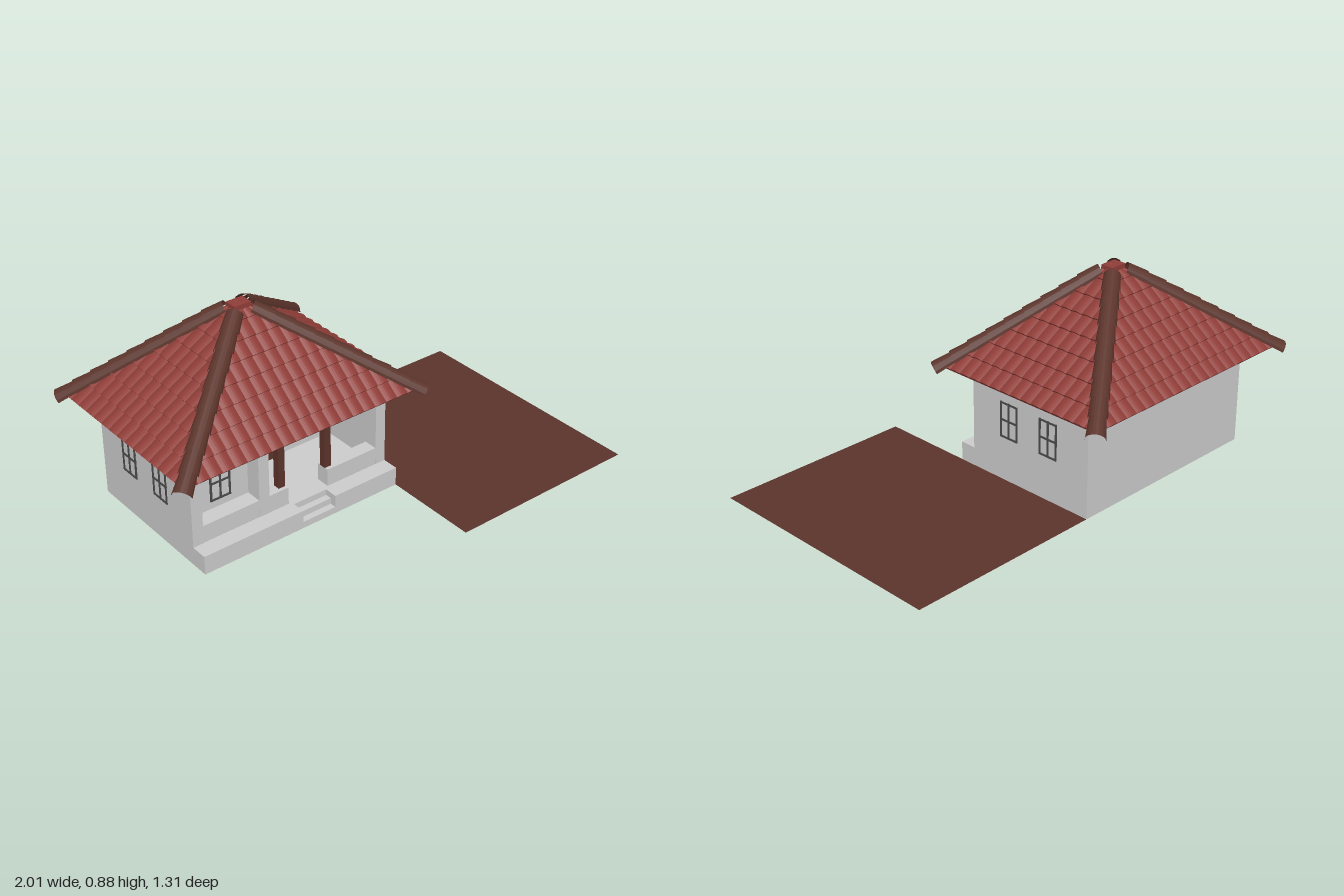
import * as THREE from 'three';

const mat = (color) => new THREE.MeshStandardMaterial({ color, side: THREE.DoubleSide, flatShading: true });
const wallMat = mat(0xcccccc), glassMat = mat(0xe2e2e2), frameMat = mat(0x4a4a4a);
const tileMat = mat(0x8f3d38), woodMat = mat(0x5b342b), brassMat = mat(0xb08d3c);

function add(parent, name, geometry, material) {
  const mesh = new THREE.Mesh(geometry, material);
  mesh.name = name;
  parent.add(mesh);
  return mesh;
}

// Box given by its two extreme corners
function box(parent, name, x0, x1, y0, y1, z0, z1, material) {
  const mesh = add(parent, name, new THREE.BoxGeometry(x1 - x0, y1 - y0, z1 - z0), material);
  mesh.position.set((x0 + x1) / 2, (y0 + y1) / 2, (z0 + z1) / 2);
  return mesh;
}

function fromTriangles(positions) {
  const g = new THREE.BufferGeometry();
  g.setAttribute('position', new THREE.Float32BufferAttribute(positions, 3));
  g.computeVertexNormals();
  return g;
}

// Upright wall following a plan of [x, z] points
function wall(parent, name, plan, y0, y1) {
  const p = [];
  for (let i = 0; i < plan.length - 1; i++) {
    const [ax, az] = plan[i], [bx, bz] = plan[i + 1];
    p.push(ax, y0, az, bx, y0, bz, bx, y1, bz, ax, y0, az, bx, y1, bz, ax, y1, az);
  }
  return add(parent, name, fromTriangles(p), wallMat);
}

// Level surface
function slab(parent, name, x0, x1, z0, z1, y, material) {
  const g = new THREE.PlaneGeometry(x1 - x0, z1 - z0).rotateX(-Math.PI / 2);
  const mesh = add(parent, name, g, material);
  mesh.position.set((x0 + x1) / 2, y, (z0 + z1) / 2);
  return mesh;
}

// Four-pane window facing +z, centred on its own origin
function makeWindow(w, h) {
  const g = new THREE.Group(), b = 0.008, d = 0.006;
  g.name = 'window';
  box(g, 'windowGlass', -w / 2, w / 2, -h / 2, h / 2, 0, 0.002, glassMat);
  for (const x of [-w / 2 + b / 2, 0, w / 2 - b / 2])
    box(g, 'windowUpright', x - b / 2, x + b / 2, -h / 2, h / 2, 0, d, frameMat);
  for (const y of [-h / 2 + b / 2, 0, h / 2 - b / 2])
    box(g, 'windowRail', -w / 2, w / 2, y - b / 2, y + b / 2, 0, d, frameMat);
  return g;
}

// One triangular roof side: overlapping courses of rounded tiles, facing +z
const EAVE = 0.455, RISE = 0.415;
function roofSide(W, D) {
  const p = [], rows = 8, cols = Math.round((2 * W) / 0.057), n = cols * 6;
  const L = Math.hypot(D, RISE);
  const point = (u, t, h) => {
    const w = W * (1 - t), x = THREE.MathUtils.clamp(u, -w, w);
    if (h > 0) h += 0.007 * Math.abs(Math.sin(((x + W) / (2 * W)) * cols * Math.PI));
    return [x, EAVE + RISE * t + (h * D) / L, D * (1 - t) + (h * RISE) / L];
  };
  const quad = (a, b, c, d) => p.push(...a, ...b, ...c, ...a, ...c, ...d);
  for (let r = 0; r < rows; r++) {
    const t0 = r / rows, t1 = (r + 1) / rows, edge = W * (1 - t0);
    for (let i = 0; i < n; i++) {
      const u0 = -W + (2 * W * i) / n, u1 = -W + (2 * W * (i + 1)) / n;
      if (u1 < -edge || u0 > edge) continue;
      quad(point(u0, t0, 0.011), point(u1, t0, 0.011), point(u1, t1, 0.002), point(u0, t1, 0.002));
      quad(point(u0, t0, 0), point(u1, t0, 0), point(u1, t0, 0.011), point(u0, t0, 0.011));
    }
  }
  return fromTriangles(p);
}

// Row of overlapping half-round tiles down one hip
function hip(sx, sz) {
  const g = new THREE.Group(), count = 9;
  g.name = 'hipTiles';
  const at = (k) => new THREE.Vector3(sx * 0.57 * k, EAVE + RISE * (1 - k), sz * 0.43 * k);
  const top = at(0.07), end = at(1.03);
  const dir = top.clone().sub(end).normalize();
  const side = new THREE.Vector3().crossVectors(dir, new THREE.Vector3(0, 1, 0)).normalize();
  const up = new THREE.Vector3().crossVectors(side, dir);
  const basis = new THREE.Matrix4().makeBasis(side, dir, up);
  const len = top.distanceTo(end) / count;
  for (let i = 0; i < count; i++) {
    const geo = new THREE.CylinderGeometry(0.035, 0.041, len * 1.08, 10, 1, true, -Math.PI / 2, Math.PI);
    const tile = add(g, 'hipTile', geo, woodMat);
    tile.quaternion.setFromRotationMatrix(basis);
    tile.position.lerpVectors(end, top, (i + 0.5) / count);
  }
  return g;
}

export function createModel() {
  const house = new THREE.Group();
  house.name = 'house';

  // Yard beside the house
  slab(house, 'yard', 0.1, 1, -0.51, 0.645, 0, woodMat);

  // Outer walls, and the front with its shallow bay and deep porch
  wall(house, 'outerWalls', [[-0.87, 0.135], [-0.87, -0.51], [0.1, -0.51], [0.1, 0.135]].reverse(), 0, 0.46);
  wall(house, 'frontWalls', [[-0.87, 0.135], [-0.82, 0.135], [-0.82, 0.06], [-0.55, 0.06], [-0.55, 0.135],
    [-0.5, 0.135], [-0.5, -0.18], [0.05, -0.18], [0.05, 0.135], [0.1, 0.135]], 0.085, 0.46);

  // Plinth with steps cut into it
  const s0 = -0.39, s1 = -0.225, floor = 0.085;
  wall(house, 'plinthLeft', [[-0.87, 0.135], [-0.87, 0.21], [s0, 0.21], [s0, 0.15]], 0, floor);
  wall(house, 'plinthRight', [[s1, 0.15], [s1, 0.21], [0.1, 0.21], [0.1, 0.135]], 0, floor);
  slab(house, 'plinthTop', -0.87, s0, 0.135, 0.21, floor, wallMat);
  slab(house, 'plinthTop', s1, 0.1, 0.135, 0.21, floor, wallMat);
  slab(house, 'stepLanding', s0, s1, 0.135, 0.15, floor, wallMat);
  slab(house, 'porchFloor', -0.5, 0.05, -0.18, 0.135, floor, wallMat);
  [[0.21, 0, 0.03], [0.18, 0.03, 0.0575], [0.15, 0.0575, floor]].forEach(([z, y0, y1], i) => {
    wall(house, 'stepRiser', [[s0, z], [s1, z]], y0, y1);
    if (i < 2) slab(house, 'stepTread', s0, s1, z - 0.03, z, y1, wallMat);
  });

  // Low parapets and wooden posts
  box(house, 'baySill', -0.82, -0.55, floor, 0.165, 0.06, 0.134, wallMat);
  box(house, 'parapet', -0.5, -0.405, floor, 0.165, 0.07, 0.134, wallMat);
  box(house, 'parapet', -0.205, 0.05, floor, 0.165, 0.07, 0.134, wallMat);
  for (const x of [-0.425, -0.19]) box(house, 'porchPost', x - 0.016, x + 0.016, 0.165, 0.46, 0.085, 0.117, woodMat);

  // Door
  const door = new THREE.Group();
  door.name = 'door';
  house.add(door);
  box(door, 'doorGlass', -0.375, -0.245, 0.225, 0.38, -0.179, -0.174, glassMat);
  box(door, 'doorPanel', -0.375, -0.245, floor, 0.23, -0.179, -0.168, woodMat);
  box(door, 'doorJamb', -0.39, -0.37, floor, 0.39, -0.179, -0.162, woodMat);
  box(door, 'doorJamb', -0.25, -0.23, floor, 0.39, -0.179, -0.162, woodMat);
  box(door, 'doorHead', -0.39, -0.23, 0.375, 0.39, -0.179, -0.162, woodMat);
  box(door, 'doorHandle', -0.386, -0.37, 0.21, 0.217, -0.162, -0.154, brassMat);

  // Windows: two in the front, two in each side
  const place = (x, z, turn) => {
    const w = makeWindow(0.097, 0.163);
    w.position.set(x, 0.283, z);
    w.rotation.y = turn;
    house.add(w);
  };
  place(-0.685, 0.061, 0);
  place(-0.083, -0.179, 0);
  for (const z of [-0.076, -0.297]) {
    place(0.101, z, Math.PI / 2);
    place(-0.871, z, -Math.PI / 2);
  }

  // Hipped roof
  const roof = new THREE.Group();
  roof.name = 'roof';
  roof.position.set(-0.39, 0, -0.19);
  house.add(roof);
  for (let i = 0; i < 4; i++) {
    const g = i % 2 ? roofSide(0.43, 0.57) : roofSide(0.57, 0.43);
    add(roof, 'roofSide', g, tileMat).rotation.y = (i * Math.PI) / 2;
  }
  slab(roof, 'soffit', -0.57, 0.57, -0.43, 0.43, 0.459, tileMat);
  for (const sx of [-1, 1]) for (const sz of [-1, 1]) roof.add(hip(sx, sz));
  box(roof, 'roofCap', -0.04, 0.04, 0.835, 0.872, -0.03, 0.03, tileMat);

  return house;
}
